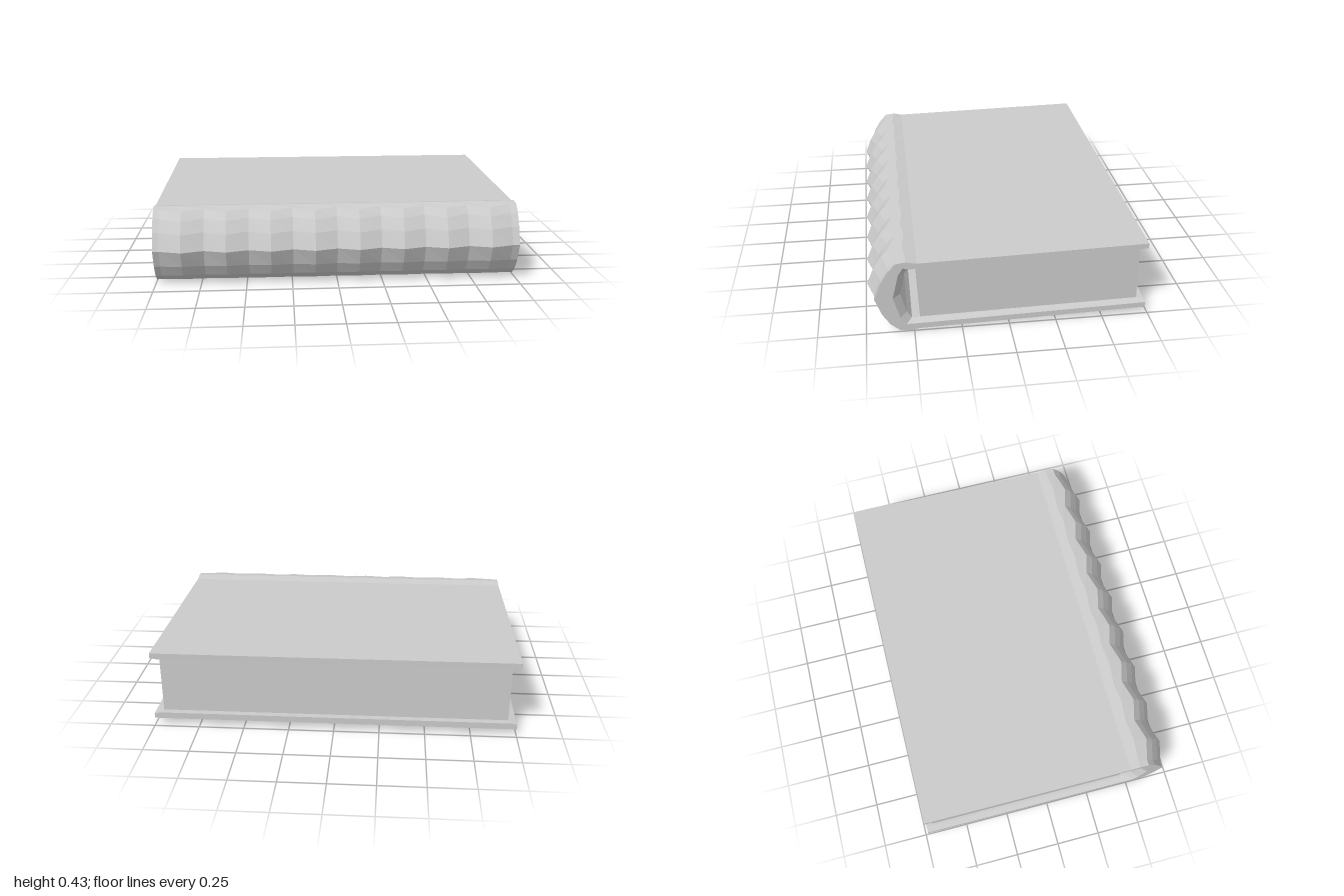
import * as THREE from 'three';

const material = new THREE.MeshStandardMaterial({ color: 0xcccccc, flatShading: true });

// Cover outline: z, y, then how far the point shifts in z and y under the waves.
const OUTER = [
  [-0.723, 0.436, 0, 0], [0.475, 0.41, 0, 0], [0.53, 0.421, 0.012, 0], [0.582, 0.414, 0.035, -0.008],
  [0.622, 0.372, 0.034, -0.01], [0.663, 0.305, 0.034, -0.007], [0.698, 0.21, 0.035, 0],
  [0.663, 0.115, 0.034, 0.007], [0.622, 0.05, 0.034, 0.01], [0.575, 0.012, 0.034, 0.01],
  [0.525, 0.002, 0.012, 0.005], [0.478, 0.014, 0, 0], [-0.733, 0.042, 0, 0],
];
const INNER = [
  [-0.733, 0.071, 0, 0.006], [0.47, 0.046, 0, 0.01], [0.54, 0.046, -0.03, 0.014],
  [0.57, 0.09, -0.035, 0.008], [0.604, 0.21, -0.039, 0], [0.572, 0.345, -0.035, -0.008],
  [0.545, 0.387, -0.03, -0.016], [0.51, 0.377, -0.02, -0.012], [0.47, 0.383, 0, -0.01], [-0.723, 0.407, 0, -0.006],
];

// Builds a closed solid from rings of [x, y, z] corners, all ordered counter-clockwise from +x.
function loft(rings) {
  const n = rings[0].length;
  const pos = [];
  const tri = (a, b, c) => pos.push(...a, ...b, ...c);
  for (let i = 0; i < rings.length - 1; i++) {
    for (let j = 0; j < n; j++) {
      const k = (j + 1) % n;
      tri(rings[i][j], rings[i][k], rings[i + 1][k]);
      tri(rings[i][j], rings[i + 1][k], rings[i + 1][j]);
    }
  }
  const first = rings[0], last = rings[rings.length - 1];
  const flat = last.map(([, y, z]) => new THREE.Vector2(-z, y));
  for (const [a, b, c] of THREE.ShapeUtils.triangulateShape(flat, [])) {
    tri(last[a], last[b], last[c]);
    tri(first[a], first[c], first[b]);
  }
  const geometry = new THREE.BufferGeometry();
  geometry.setAttribute('position', new THREE.Float32BufferAttribute(pos, 3));
  geometry.computeVertexNormals();
  return geometry;
}

function ring(x, outerWave, innerWave) {
  const shift = (points, w) => points.map(([z, y, dz, dy]) => [x, y + dy * w, z + dz * w]);
  return [...shift(OUTER, outerWave), ...shift(INNER, innerWave)];
}

export function createModel() {
  const group = new THREE.Group();
  group.name = 'book';

  // Cover with a rippled spine: eight ridges along its length
  const rings = [ring(-1, 0, 0)];
  for (let i = 0; i <= 16; i++) rings.push(ring(-0.967 + i * 0.1205, i % 2, 1));
  rings.push(ring(1, 0, 0));
  const cover = new THREE.Mesh(loft(rings), material);
  cover.name = 'cover';
  group.add(cover);

  // Page block, tapered to meet both boards
  const side = [[-0.692, 0.402], [0.475, 0.376], [0.468, 0.055], [-0.697, 0.076]];
  const pages = new THREE.Mesh(loft([-0.955, 0.955].map(x => side.map(([z, y]) => [x, y, z]))), material);
  pages.name = 'pages';
  group.add(pages);

  return group;
}
